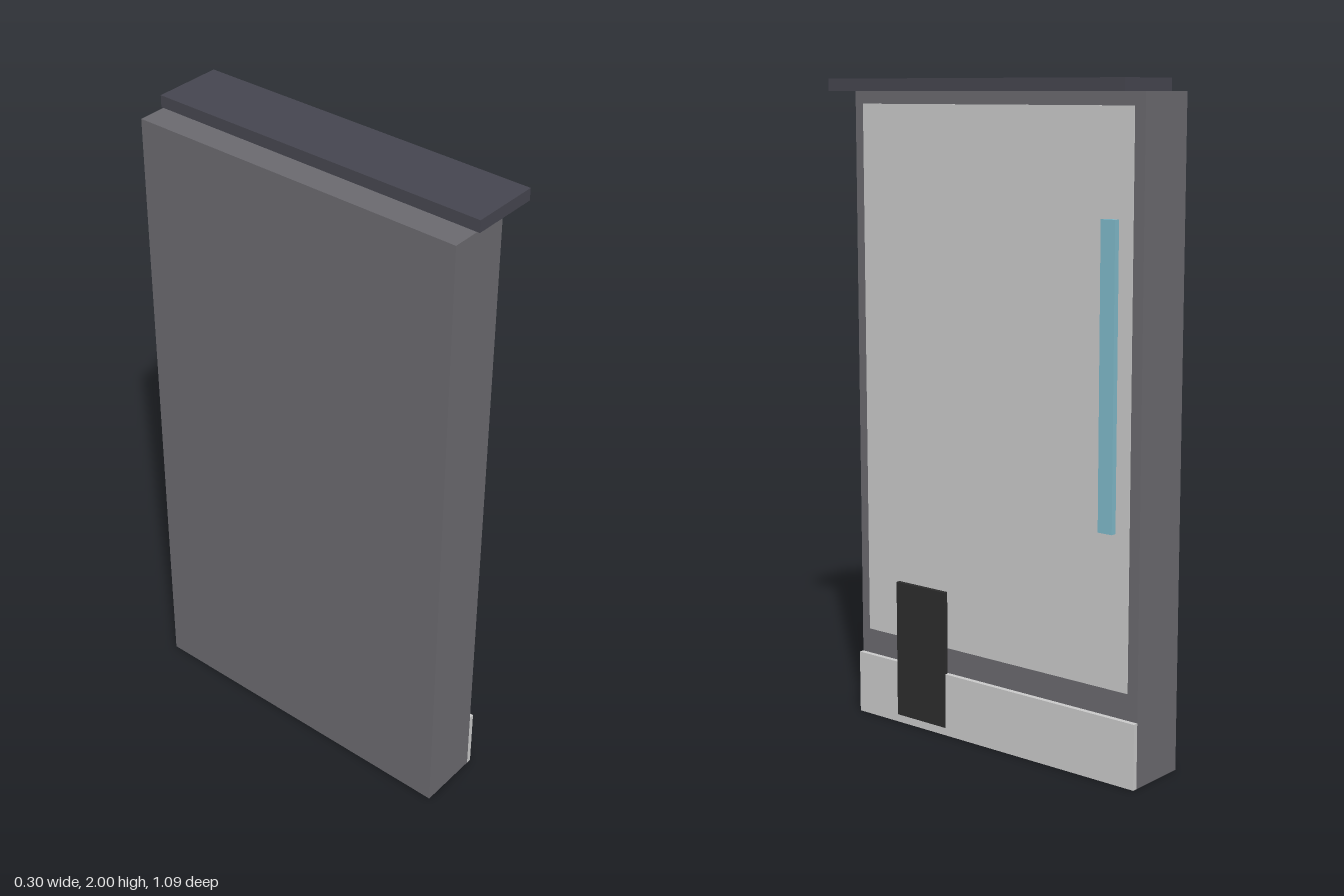
import * as THREE from 'three';

const paint = (name, color) => {
  const m = new THREE.MeshStandardMaterial({ color });
  m.name = name;
  return m;
};

export function createModel() {
  const group = new THREE.Group();
  group.name = 'wallPanel';

  const grey = paint('slate grey', 0x6a696e);
  const light = paint('light grey', 0xc9c9c9);
  const dark = paint('dark blue grey', 0x45454f);
  const black = paint('black', 0x2c2c2c);
  const blue = paint('pale blue', 0x7fb9c9);

  // Box given by its limits on each axis
  const box = (name, material, [x0, x1], [y0, y1], [z0, z1]) => {
    const mesh = new THREE.Mesh(new THREE.BoxGeometry(x1 - x0, y1 - y0, z1 - z0), material);
    mesh.position.set((x0 + x1) / 2, (y0 + y1) / 2, (z0 + z1) / 2);
    mesh.name = name;
    group.add(mesh);
  };

  // Wall slab and the cap overhanging its face
  box('wallBody', grey, [-0.152, 0.045], [0, 1.964], [-0.538, 0.538]);
  box('topCap', dark, [-0.064, 0.152], [1.964, 2], [-0.546, 0.546]);

  // Inset face panel and skirting board
  box('facePanel', light, [0.045, 0.05], [0.278, 1.926], [-0.503, 0.503]);
  box('skirting', light, [0.045, 0.061], [0, 0.197], [-0.538, 0.538]);

  // Dark hatch plate and glowing strip on the face
  box('hatchPlate', black, [0.05, 0.064], [0.025, 0.457], [0.174, 0.372]);
  box('lightStrip', blue, [0.056, 0.074], [0.74, 1.62], [-0.462, -0.413]);

  return group;
}
